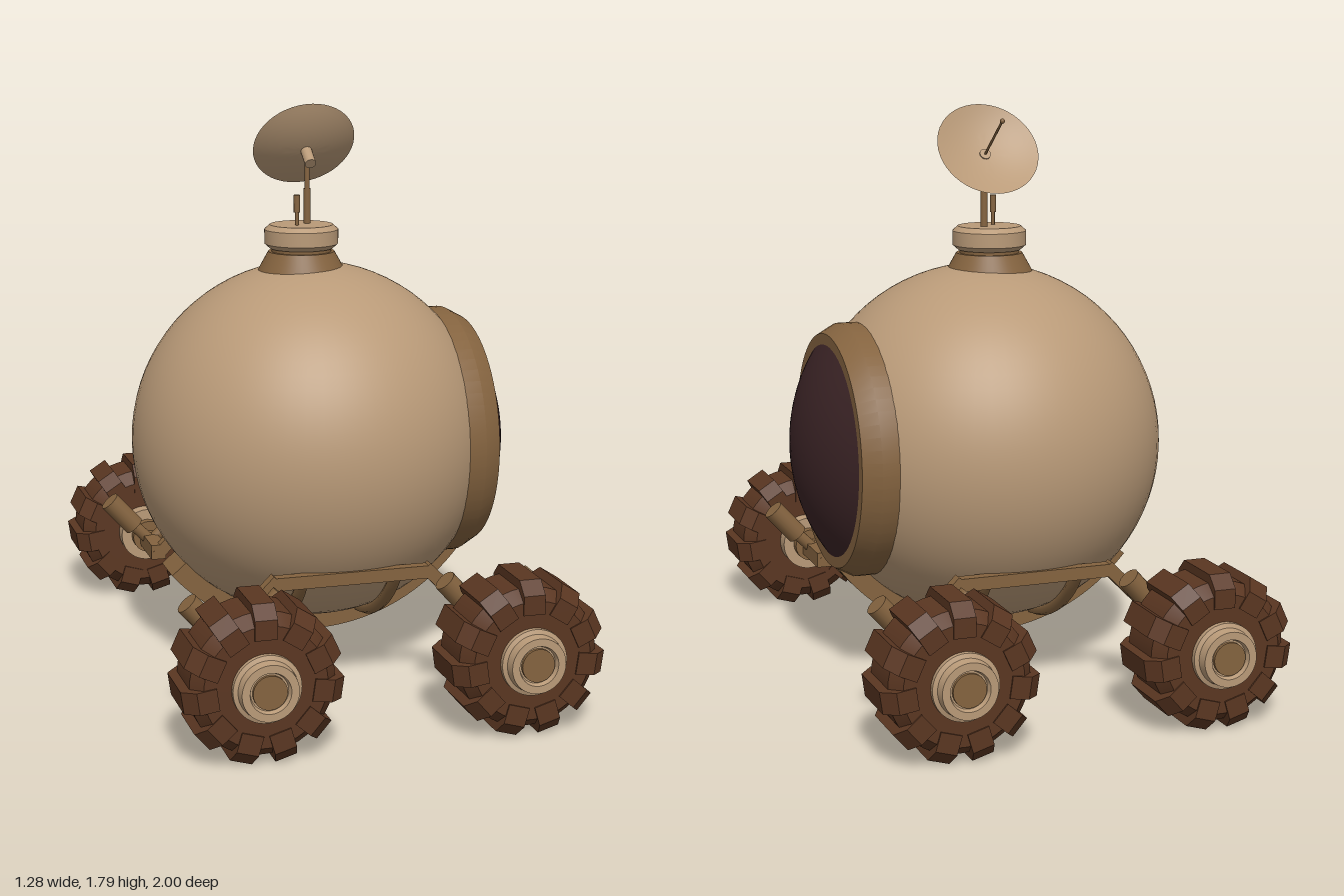
import * as THREE from 'three';
import { toCreasedNormals } from 'three/addons/utils/BufferGeometryUtils.js';

const mat = (name, color, side = THREE.FrontSide) => {
  const m = new THREE.MeshStandardMaterial({ color, side });
  m.name = name;
  return m;
};

export function createModel() {
  const tan = mat('tan shell', 0xb99a78, THREE.DoubleSide);
  const brown = mat('brown frame', 0x84633f);
  const tyreBrown = mat('dark tyre', 0x5a3621);
  const glass = mat('dark glass', 0x3a2325);

  const model = new THREE.Group();
  model.name = 'rover';
  const V = (x, y, z) => new THREE.Vector3(x, y, z);
  const add = (name, geo, material, parent = model) => {
    const m = new THREE.Mesh(geo, material);
    m.name = name;
    parent.add(m);
    return m;
  };
  const lathe = (pts, seg = 48) => toCreasedNormals(
    new THREE.LatheGeometry(pts.map(p => new THREE.Vector2(p[0], p[1])), seg), 0.5);
  // Cylinder between two points
  const rod = (name, a, b, r, material, parent = model, seg = 16) => {
    const m = add(name, new THREE.CylinderGeometry(r, r, a.distanceTo(b), seg), material, parent);
    m.position.copy(a).add(b).multiplyScalar(0.5);
    m.quaternion.setFromUnitVectors(V(0, 1, 0), b.clone().sub(a).normalize());
    return m;
  };
  const C = 0.72, R = 0.57;

  // Cabin
  add('cabin', new THREE.SphereGeometry(R, 64, 40), tan).position.y = C;

  // Porthole rim and domed glass, facing +x
  const rim = add('windowRim', lathe([[0.40, 0.36], [0.40, 0.46], [0.37, 0.515], [0.335, 0.515], [0.335, 0.48]], 64), brown);
  const dome = [];
  for (let i = 0; i <= 10; i++) {
    const a = 0.608 * (1 - i / 10);
    dome.push([0.587 * Math.sin(a), 0.033 + 0.587 * Math.cos(a)]);
  }
  const pane = add('windowGlass', lathe(dome, 64), glass);
  for (const m of [rim, pane]) {
    m.rotation.z = -Math.PI / 2;
    m.position.y = C;
  }

  // Keel strap curving under the cabin, end to end along x
  const strap = new THREE.Shape();
  const a0 = -Math.PI / 2 - 0.86, a1 = -Math.PI / 2 + 0.95;
  strap.absarc(0, 0, 0.625, a0, a1, false);
  strap.absarc(0, 0, 0.55, a1, a0, true);
  const strapGeo = new THREE.ExtrudeGeometry(strap, { depth: 0.15, bevelEnabled: false, curveSegments: 32 });
  add('keelStrap', strapGeo.translate(0, C, -0.075), brown);

  // Thin hoops joining the front and back arms under the cabin
  for (const x of [-0.15, 0.15]) {
    const pts = [];
    for (let i = 0; i <= 12; i++) {
      const a = -0.95 + 1.9 * i / 12;
      pts.push(V(x, C - 0.565 * Math.cos(a), 0.565 * Math.sin(a)));
    }
    add('cabinHoop', new THREE.TubeGeometry(new THREE.CatmullRomCurve3(pts), 32, 0.02, 8), brown);
  }

  // Roof hatch: flared neck and cap
  const neck = add('hatchNeck', lathe([[0.15, 1.24], [0.13, 1.28], [0.105, 1.325], [0.095, 1.325], [0.095, 1.35]]), brown);
  const cap = add('hatchCap', lathe([[0, 1.335], [0.1, 1.335], [0.117, 1.35], [0.117, 1.395], [0.1, 1.41], [0, 1.41]]), tan);
  neck.position.x = cap.position.x = -0.025;

  // Mast, short aerial and dish
  rod('mast', V(0, 1.4, -0.02), V(0, 1.52, -0.02), 0.011, brown);
  rod('mastTop', V(0, 1.52, -0.02), V(0, 1.62, -0.02), 0.008, brown);
  rod('aerialBase', V(-0.045, 1.4, 0.02), V(-0.045, 1.46, 0.02), 0.006, brown);
  rod('aerialTip', V(-0.045, 1.45, 0.02), V(-0.045, 1.505, 0.02), 0.01, brown);
  const dish = new THREE.Group();
  dish.name = 'dish';
  dish.position.set(0, 1.6575, -0.0575);
  dish.rotation.x = -0.935;
  model.add(dish);
  const bowl = [];
  for (let i = 0; i <= 8; i++) bowl.push([0.1645 * i / 8, -0.035 * (1 - (i / 8) ** 2)]);
  add('dishBowl', lathe(bowl), tan, dish);
  rod('dishMount', V(0, -0.095, 0), V(0, -0.03, 0), 0.018, tan, dish);
  rod('dishFeed', V(0, -0.035, 0), V(0, 0.155, 0), 0.004, brown, dish, 8);
  add('dishFeedTip', new THREE.SphereGeometry(0.008, 12, 8), brown, dish).position.y = 0.155;

  // Wheel parts, with the axle along +z
  const alongZ = pts => lathe(pts).rotateX(Math.PI / 2);
  const tyreGeo = alongZ([[0, 0.715], [0.175, 0.715], [0.212, 0.755], [0.212, 0.91], [0.18, 0.95], [0, 0.95]]);
  const hubGeo = alongZ([[0, 0.665], [0.09, 0.665], [0.09, 0.72], [0.09, 0.94], [0.1, 0.945], [0.1, 0.965],
    [0.087, 0.97], [0.083, 1.0], [0.06, 1.0], [0.055, 0.985], [0, 0.985]]);
  const lug = new THREE.Shape();
  [[0.71, 0.14], [0.71, 0.198], [0.748, 0.236], [0.917, 0.236], [0.955, 0.198], [0.955, 0.14]]
    .forEach((p, i) => (i ? lug.lineTo(...p) : lug.moveTo(...p)));
  const lugGeo = new THREE.ExtrudeGeometry(lug, { depth: 0.066, bevelEnabled: false })
    .translate(0, 0, -0.033).rotateY(-Math.PI / 2);

  // One axle set: cross bar, bent arms, shock absorbers and two wheels
  const LUGS = 11;
  for (const turn of [0, Math.PI]) {
    const axle = new THREE.Group();
    axle.name = turn ? 'backAxle' : 'frontAxle';
    axle.rotation.y = turn;
    model.add(axle);
    add('crossBar', new THREE.BoxGeometry(0.5, 0.04, 0.035), brown, axle).position.set(0, 0.385, 0.467);
    for (const s of [-1, 1]) {
      // Sloping side arm, then the stub out to the hub
      const slope = add('sideArm', new THREE.BoxGeometry(0.245, 0.04, 0.035), brown, axle);
      slope.position.set(s * 0.322, 0.311, 0.467);
      slope.rotation.z = -s * 0.785;
      add('stubArm', new THREE.BoxGeometry(0.05, 0.05, 0.22), brown, axle).position.set(s * 0.405, 0.236, 0.56);
      rod('axleCollar', V(s * 0.4, 0.24, 0.635), V(s * 0.4, 0.24, 0.68), 0.055, brown, axle, 24);
      // Pair of shock absorbers in a V
      for (const t of [-1, 1]) {
        rod('shockRod', V(s * 0.4, 0.235, 0.595), V(s * 0.4 + t * 0.08, 0.315, 0.595), 0.02, brown, axle);
        rod('shockBody', V(s * 0.4 + t * 0.06, 0.295, 0.595), V(s * 0.4 + t * 0.145, 0.39, 0.595), 0.035, brown, axle);
      }
      // Wheel
      const wheel = new THREE.Group();
      wheel.name = 'wheel';
      wheel.position.set(s * 0.4, 0.24, 0);
      axle.add(wheel);
      add('tyre', tyreGeo, tyreBrown, wheel);
      add('hub', hubGeo, tan, wheel);
      rod('hubCentre', V(0, 0, 0.97), V(0, 0, 0.995), 0.05, brown, wheel, 24);
      for (let i = 0; i < LUGS; i++) {
        add('tyreLug', lugGeo, tyreBrown, wheel).rotation.z = i * 2 * Math.PI / LUGS;
      }
    }
  }
  return model;
}
